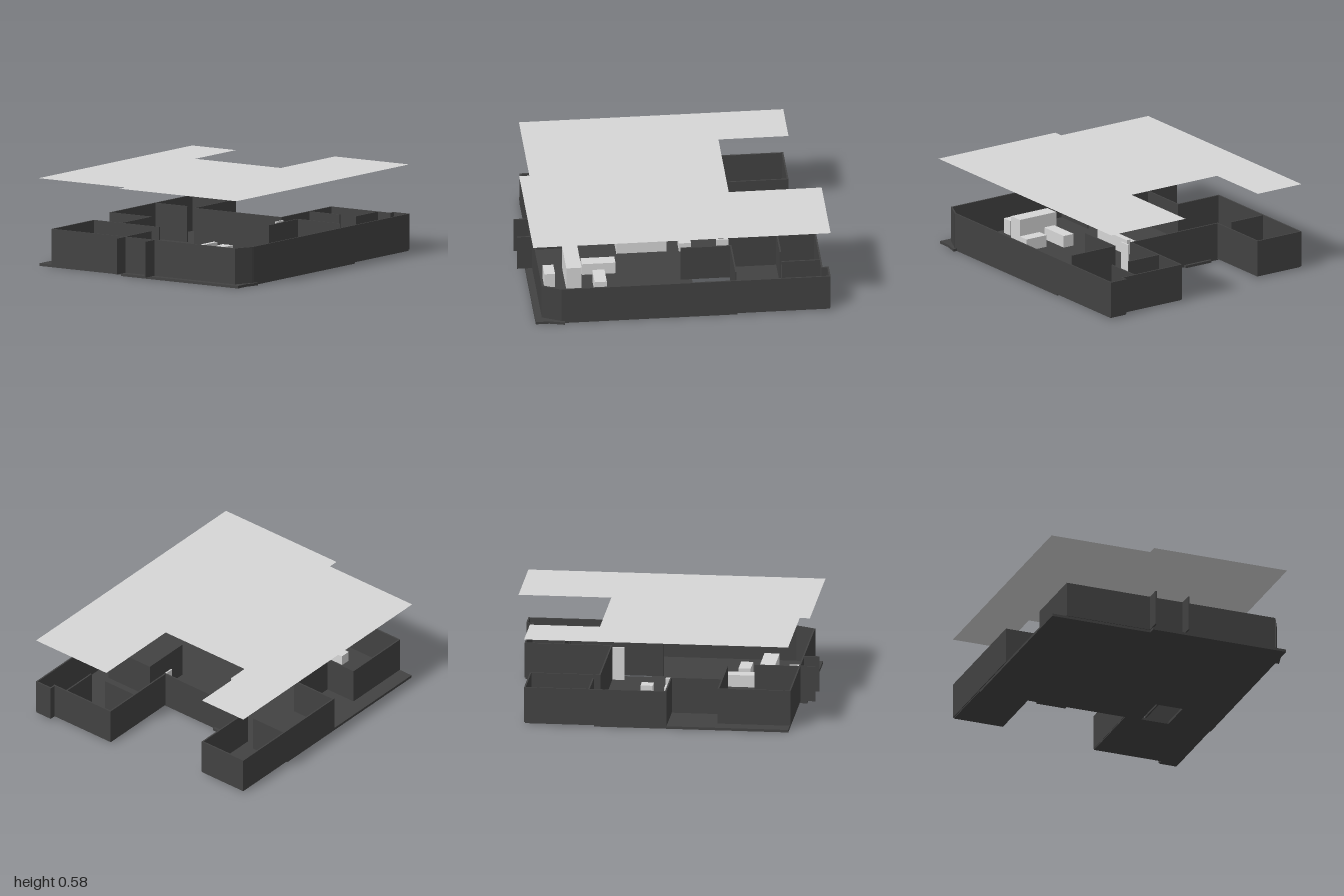
import * as THREE from 'three';

const dark = new THREE.MeshStandardMaterial({ color: 0x424242 });
dark.name = 'charcoal';
const light = new THREE.MeshStandardMaterial({ color: 0xd6d6d6, side: THREE.DoubleSide });
light.name = 'pale grey';

const FLOOR = 0.02, TOP = 0.257, ROOF = 0.582, T = 0.01;

const toShape = (pts) => new THREE.Shape(pts.map(([x, z]) => new THREE.Vector2(x, z)));
const rect = (x0, x1, z0, z1) => [[x0, z0], [x1, z0], [x1, z1], [x0, z1]];

export function createModel() {
  const model = new THREE.Group();

  const add = (parent, geometry, material, name) => {
    const mesh = new THREE.Mesh(geometry, material);
    mesh.name = name;
    parent.add(mesh);
    return mesh;
  };

  // box from its limits
  const block = (parent, name, material, x0, x1, y0, y1, z0, z1) => {
    add(parent, new THREE.BoxGeometry(x1 - x0, y1 - y0, z1 - z0), material, name)
      .position.set((x0 + x1) / 2, (y0 + y1) / 2, (z0 + z1) / 2);
  };

  // horizontal slab from a plan outline
  const slab = (name, pts, y0, y1, hole) => {
    const shape = toShape(pts);
    if (hole) shape.holes.push(toShape(hole));
    const g = new THREE.ExtrudeGeometry(shape, { depth: y1 - y0, bevelEnabled: false });
    g.rotateX(Math.PI / 2).translate(0, y1, 0);
    add(model, g, dark, name);
  };

  // run of upright walls along a plan path
  const walls = (name, pts, thick = T) => {
    const group = new THREE.Group();
    group.name = name;
    for (let i = 0; i + 1 < pts.length; i++) {
      const [x0, z0] = pts[i], [x1, z1] = pts[i + 1];
      const len = Math.hypot(x1 - x0, z1 - z0);
      const m = add(group, new THREE.BoxGeometry(len + thick * 0.9, TOP - FLOOR, thick), dark, name + 'Panel');
      m.position.set((x0 + x1) / 2, (TOP + FLOOR) / 2, (z0 + z1) / 2);
      m.rotation.y = -Math.atan2(z1 - z0, x1 - x0);
    }
    model.add(group);
  };

  // ceiling plate hovering over the rooms
  const ceiling = new THREE.ShapeGeometry(toShape([
    [-0.89, -0.83], [0.845, -0.83], [0.845, -0.48], [0.385, -0.48], [0.385, 0.205],
    [0.995, 0.205], [0.995, 0.8], [-0.957, 0.8], [-0.957, -0.135], [-0.89, -0.135],
  ]));
  ceiling.rotateX(Math.PI / 2).translate(0, ROOF, 0);
  add(model, ceiling, light, 'ceiling');

  // floors
  slab('mainFloor', [
    [-0.89, -0.825], [0.385, -0.825], [0.385, 0.8], [-0.75, 0.8], [-0.75, 0.825],
    [-0.85, 0.8], [-0.94, 0.8], [-0.94, -0.135], [-0.89, -0.135],
  ], 0.003, FLOOR, rect(0.13, 0.38, 0.31, 0.5));
  slab('frontWingFloor', [[0.385, 0.205], [0.95, 0.205], [0.95, 0.68], [0.99, 0.68], [0.99, 0.8], [0.385, 0.8]], 0.012, FLOOR);
  slab('backWingFloor', rect(0.385, 0.84, -0.825, -0.48), 0.012, FLOOR);
  block(model, 'sideStep', dark, 0.385, 0.408, 0.003, FLOOR, -0.42, -0.215);

  // outer walls, clockwise from the left entrance
  walls('outerWall', [
    [-0.89, -0.135], [-0.89, -0.72], [-0.42, -0.72], [-0.42, -0.5], [-0.085, -0.5],
    [-0.085, -0.825], [0.84, -0.825], [0.84, -0.483], [0.385, -0.483], [0.385, 0.208],
    [0.95, 0.208], [0.95, 0.68], [0.99, 0.68], [0.99, 0.797], [-0.77, 0.797],
    [-0.89, 0.74], [-0.89, 0.1],
  ]);
  walls('entranceWall', [[-0.89, 0.1], [-0.89, -0.135]]);
  walls('entranceFin', [[-0.99, -0.135], [-0.89, -0.135]]);
  walls('entranceFin', [[-0.99, 0.095], [-0.89, 0.095]]);

  // partitions
  const partitions = [
    [[-0.89, -0.14], [-0.6, -0.14]],
    [[-0.42, -0.5], [-0.42, -0.2]],
    [[0.06, 0.34], [0.385, 0.34], [0.385, 0.68]],
    [[0.42, -0.825], [0.42, -0.57]],
    [[0.7, 0.21], [0.7, 0.45]],
    [[0.7, 0.58], [0.95, 0.58]],
  ];
  partitions.forEach((p) => walls('partition', p));

  // pale furniture
  const furniture = new THREE.Group();
  furniture.name = 'furniture';
  model.add(furniture);
  [
    ['tallCabinet', -0.70, -0.60, 0.18, 0.11, 0.40],
    ['kitchenCounter', -0.58, -0.36, 0.10, 0.14, 0.22],
    ['kitchenIsland', -0.52, -0.44, 0.10, 0.30, 0.46],
    ['longSofaSeat', -0.33, 0.0, 0.08, -0.14, -0.06],
    ['longSofaBack', -0.33, 0.0, 0.12, -0.06, -0.03],
    ['sideTable', 0.08, 0.16, 0.08, -0.10, -0.02],
    ['washstand', -0.55, -0.49, 0.11, -0.42, -0.35],
    ['bathBench', -0.76, -0.52, 0.09, -0.26, -0.19],
    ['bathBenchReturn', -0.76, -0.69, 0.09, -0.40, -0.26],
    ['lowChest', -0.84, -0.77, 0.12, 0.24, 0.36],
  ].forEach(([name, x0, x1, y1, z0, z1]) => block(furniture, name, light, x0, x1, FLOOR, y1, z0, z1));
  block(furniture, 'paleDoor', light, 0.30, 0.38, FLOOR, 0.24, 0.22, 0.23);

  return model;
}
